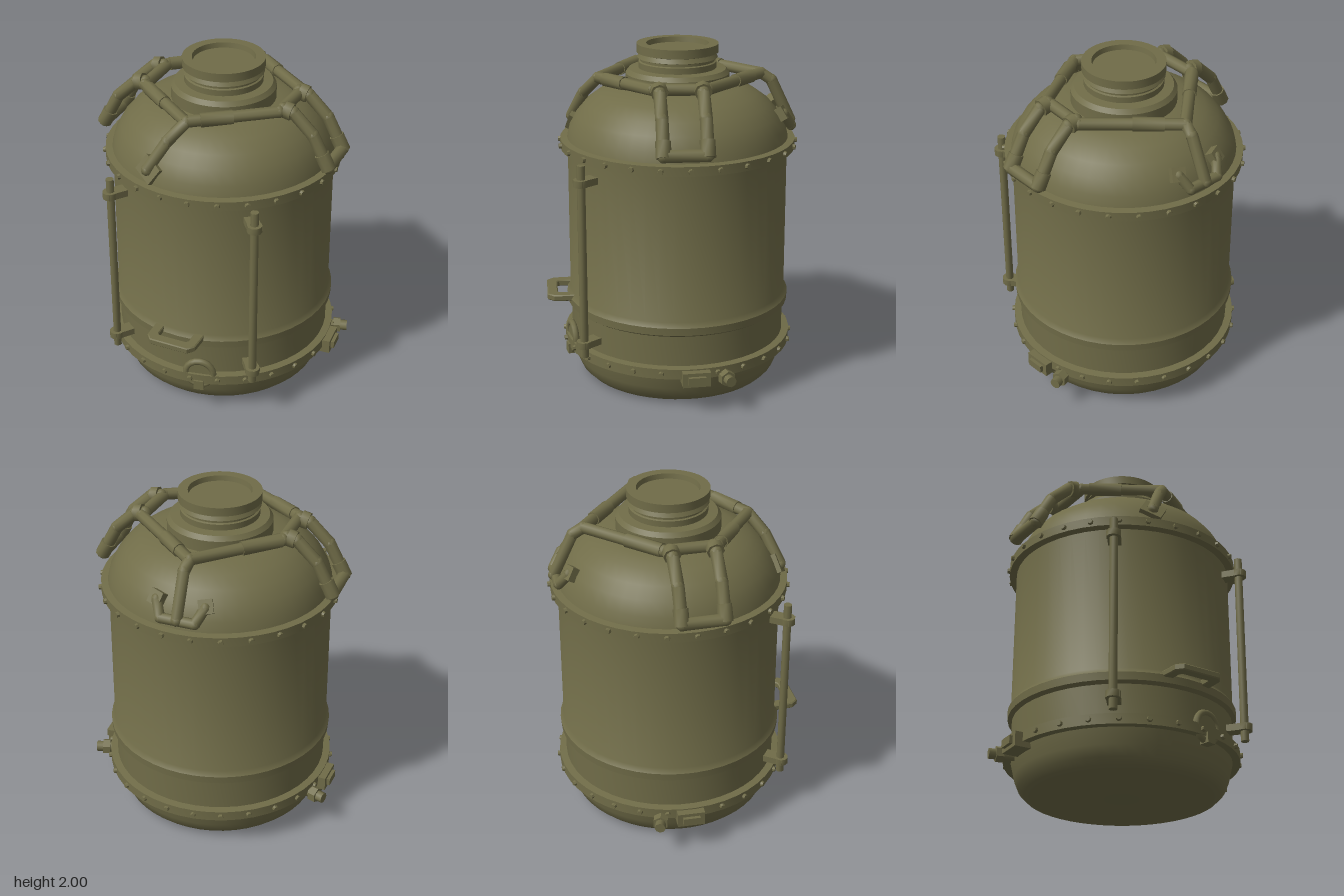
import * as THREE from 'three';
import { toCreasedNormals } from 'three/addons/utils/BufferGeometryUtils.js';

export function createModel() {
  const model = new THREE.Group();
  model.name = 'canister';
  // everything is laid out around the canister axis, slightly behind the centre
  const body = new THREE.Group();
  body.name = 'body';
  body.position.z = -0.045;
  model.add(body);

  const olive = new THREE.MeshStandardMaterial({ color: 0x706c48 });
  olive.name = 'olive paint';

  const V = (x, y, z) => new THREE.Vector3(x, y, z);
  const add = (name, geo, parent = body, crease = 0.6) => {
    const m = new THREE.Mesh(toCreasedNormals(geo, crease), olive);
    m.name = name;
    parent.add(m);
    return m;
  };
  const group = (name, parent = body) => {
    const g = new THREE.Group();
    g.name = name;
    parent.add(g);
    return g;
  };
  // straight round bar between two points
  const bar = (name, a, b, r, parent, sides = 8) => {
    const d = b.clone().sub(a);
    const m = add(name, new THREE.CylinderGeometry(r, r, d.length(), sides), parent, 0.9);
    m.position.copy(a).addScaledVector(d, 0.5);
    m.quaternion.setFromUnitVectors(V(0, 1, 0), d.normalize());
    return m;
  };
  // chain of bars with rounded elbows
  const pipe = (name, pts, r, parent, closed = false) => {
    const g = group(name, parent);
    pts.forEach((p, i) => {
      if (i < pts.length - 1 || closed) bar('bar', p, pts[(i + 1) % pts.length], r, g);
      add('elbow', new THREE.SphereGeometry(r * 1.02, 8, 6), g, 1.2).position.copy(p);
    });
    return g;
  };
  // group whose +z points away from the axis at the given angle
  const radial = (name, angle) => {
    const g = group(name);
    g.rotation.y = angle;
    return g;
  };

  // tank shell, flanges, ridge, dome, collar and neck in one profile
  const profile = [
    [0, 0], [0.5, 0], [0.555, 0.015], [0.59, 0.05], [0.615, 0.11], [0.635, 0.2],
    [0.68, 0.2], [0.68, 0.26], [0.638, 0.265],
    [0.638, 0.445], [0.662, 0.46], [0.665, 0.505], [0.645, 0.535],
    [0.642, 1.395], [0.685, 1.4], [0.685, 1.455], [0.645, 1.46],
    [0.63, 1.52], [0.59, 1.595], [0.535, 1.66], [0.46, 1.715], [0.37, 1.75], [0.3, 1.76],
    [0.3, 1.83], [0.28, 1.855], [0.225, 1.86],
    [0.225, 1.895], [0.215, 1.9], [0.215, 1.915], [0.232, 1.92], [0.218, 1.945],
    [0.236, 1.95], [0.236, 2], [0.18, 2], [0.175, 1.97], [0, 1.97],
  ].map(([r, y]) => new THREE.Vector2(r, y));
  add('tank', new THREE.LatheGeometry(profile, 48));

  // rivets around both flanges
  for (const [name, y, r] of [['lowerRivets', 0.23, 0.68], ['upperRivets', 1.428, 0.685]]) {
    const ring = group(name);
    for (let i = 0; i < 26; i++) {
      const a = ((i + 0.5) / 26) * Math.PI * 2;
      const m = add('rivet', new THREE.CylinderGeometry(0.014, 0.02, 0.03, 7), ring);
      m.position.set(Math.sin(a) * r, y, Math.cos(a) * r);
      m.quaternion.setFromUnitVectors(V(0, 1, 0), V(Math.sin(a), 0, Math.cos(a)));
    }
  }

  // top handle frame: six-cornered ring around the collar
  const frame = group('handleFrame');
  const back = V(-0.01, 1.81, -0.49), front = V(-0.02, 1.8, 0.46);
  const ring = [
    back, V(0.43, 1.82, -0.12), V(0.41, 1.82, 0.18),
    front, V(-0.41, 1.82, 0.18), V(-0.41, 1.82, -0.12),
  ];
  pipe('topRing', ring, 0.034, frame, true);
  // sleeves on the ring bars
  for (const [a, b, t0, t1] of [[0, 5, 0.55, 0.98], [0, 1, 0.2, 0.5], [3, 2, 0.15, 0.5], [3, 4, 0.5, 0.9]]) {
    const p = ring[a].clone().lerp(ring[b], t0), q = ring[a].clone().lerp(ring[b], t1);
    bar('sleeve', p, q, 0.04, frame);
  }

  // front leg with its foot plate
  pipe('frontLeg', [front, V(-0.1, 1.7, 0.54), V(-0.19, 1.54, 0.61)], 0.034, frame);
  const foot = add('frontFoot', new THREE.BoxGeometry(0.13, 0.11, 0.05), frame);
  foot.position.set(-0.18, 1.535, 0.59);
  foot.rotation.set(-0.45, -0.25, -0.6);

  // back leg ending in a cross bar with two upturned hooks
  pipe('backLeg', [back, V(0, 1.77, -0.55), V(0, 1.53, -0.665)], 0.034, frame);
  pipe('backHooks', [
    V(-0.14, 1.6, -0.6), V(-0.1, 1.52, -0.655), V(0.1, 1.52, -0.655), V(0.14, 1.6, -0.6),
  ], 0.03, frame);
  for (const s of [-1, 1]) {
    const pad = add('backFoot', new THREE.BoxGeometry(0.08, 0.08, 0.05), frame);
    pad.position.set(s * 0.14, 1.6, -0.59);
    pad.rotation.set(0.6, s * -0.25, s * 0.3);
  }

  for (const s of [-1, 1]) {
    // side grips: two bent arms joined by a low cross bar
    const grip = group(s > 0 ? 'leftGrip' : 'rightGrip', frame);
    const arm = z => [[0.42, 1.825], [0.48, 1.815], [0.6, 1.7], [0.695, 1.52]]
      .map(([x, y]) => V(s * x, y, z));
    pipe('gripLoop', [...arm(-0.09), ...arm(0.15).reverse()], 0.036, grip);
    for (const z of [-0.09, 0.15]) {
      bar('gripCollar', V(s * 0.43, 1.825, z), V(s * 0.475, 1.815, z), 0.05, grip);
      bar('gripEnd', V(s * 0.655, 1.595, z), V(s * 0.7, 1.51, z), 0.043, grip);
    }

    // upright rods held by two brackets on the front
    const rod = radial(s > 0 ? 'leftRod' : 'rightRod', s * Math.atan2(0.44, 0.585));
    bar('rod', V(0, 0.26, 0.732), V(0, 1.41, 0.732), 0.024, rod);
    for (const y of [0.34, 1.31]) {
      add('bracket', new THREE.BoxGeometry(0.075, 0.04, 0.13), rod).position.set(0, y, 0.69);
      bar('bracketEye', V(0, y - 0.02, 0.735), V(0, y + 0.02, 0.735), 0.043, rod, 10);
    }

    // side valve: stub with a nut
    const valve = radial(s > 0 ? 'leftValve' : 'rightValve', s * 1.87);
    bar('stub', V(0, 0.2, 0.62), V(0, 0.2, 0.775), 0.032, valve);
    bar('nut', V(0, 0.2, 0.69), V(0, 0.2, 0.735), 0.047, valve, 6);

    // latch block beside the valve
    const latch = radial(s > 0 ? 'leftLatch' : 'rightLatch', s * 1.62);
    add('latchPlate', new THREE.BoxGeometry(0.16, 0.085, 0.1), latch).position.set(0, 0.21, 0.67);
    add('latchBar', new THREE.BoxGeometry(0.1, 0.045, 0.04), latch).position.set(0, 0.21, 0.72);
  }

  // flat carrying handle low on the front
  const u = new THREE.Shape();
  [[-0.15, 0.62], [-0.145, 0.745], [-0.115, 0.78], [0.115, 0.78], [0.145, 0.745], [0.15, 0.62],
    [0.1, 0.62], [0.1, 0.715], [0.085, 0.73], [-0.085, 0.73], [-0.1, 0.715], [-0.1, 0.62]]
    .forEach(([x, y], i) => (i ? u.lineTo(x, y) : u.moveTo(x, y)));
  const handle = add('frontHandle', new THREE.ExtrudeGeometry(u, {
    depth: 0.026, bevelSize: 0.006, bevelThickness: 0.006, bevelSegments: 1,
  }));
  handle.rotation.x = Math.PI / 2;
  handle.position.y = 0.525;

  // round port on the lower flange
  const port = radial('frontPort', 0.2);
  add('portRing', new THREE.TorusGeometry(0.082, 0.02, 8, 20), port, 1.2).position.set(0, 0.26, 0.655);
  bar('portCap', V(0, 0.26, 0.6), V(0, 0.26, 0.665), 0.075, port, 16);
  add('portTab', new THREE.BoxGeometry(0.06, 0.06, 0.06), port).position.set(0, 0.19, 0.66);

  return model;
}
